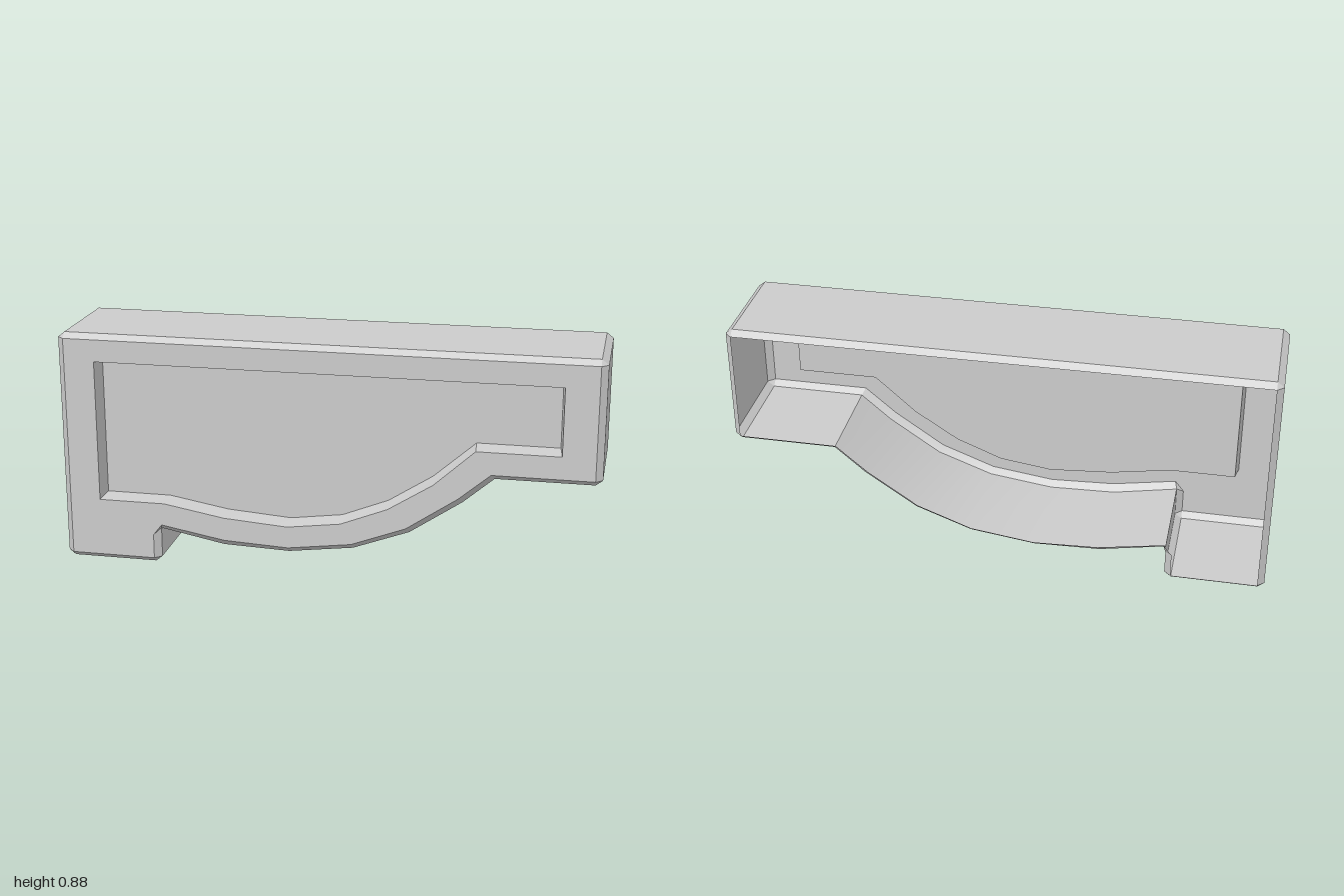
import * as THREE from 'three';
import { toCreasedNormals } from 'three/addons/utils/BufferGeometryUtils.js';

const material = new THREE.MeshStandardMaterial({ color: 0xcccccc, side: THREE.DoubleSide });

// Side outline at full size, corners clipped, anticlockwise from the foot
const rim = [
  [-1, 0.02], [-0.975, 0], [-0.655, 0], [-0.63, 0.02], [-0.63, 0.11], [-0.63, 0.135],
  [-0.385, 0.088], [-0.137, 0.08], [0.104, 0.112], [0.313, 0.19], [0.505, 0.32], [0.618, 0.417],
  [0.975, 0.417], [1, 0.437], [1, 0.858], [0.975, 0.878], [-0.975, 0.878], [-1, 0.858],
];

// Same outline, inset by the bevel; clipped corners meet in one point
const face = [
  [-0.975, 0.02], [-0.975, 0.02], [-0.655, 0.02], [-0.655, 0.02], [-0.655, 0.113], [-0.622, 0.155],
  [-0.38, 0.112], [-0.137, 0.101], [0.1, 0.133], [0.302, 0.21], [0.49, 0.338], [0.607, 0.437],
  [0.975, 0.437], [0.975, 0.437], [0.975, 0.858], [0.975, 0.858], [-0.975, 0.858], [-0.975, 0.858],
];

// Recess in the front: its edge and its slightly smaller floor
const recessEdge = [
  [-0.86, 0.24], [-0.61, 0.24], [-0.38, 0.2], [-0.14, 0.183], [0.06, 0.21], [0.235, 0.28],
  [0.4, 0.385], [0.55, 0.522], [0.855, 0.522], [0.855, 0.775], [-0.86, 0.775],
];
const recessFloor = [
  [-0.85, 0.25], [-0.605, 0.25], [-0.38, 0.211], [-0.14, 0.194], [0.055, 0.221], [0.227, 0.29],
  [0.39, 0.395], [0.545, 0.532], [0.845, 0.532], [0.845, 0.765], [-0.85, 0.765],
];

const FRONT = 0.213, SIDE = 0.19, FLOOR = 0.143;

// Skin between matching loops [outline, z]; inward flips the faces
function loft(loops, inward = false) {
  const pos = [];
  const tri = (a, b, c) => {
    const area = b.clone().sub(a).cross(c.clone().sub(a)).length();
    if (area < 1e-7) return;
    for (const p of inward ? [a, c, b] : [a, b, c]) pos.push(p.x, p.y, p.z);
  };
  for (let k = 0; k + 1 < loops.length; k++) {
    const [a, b] = [loops[k], loops[k + 1]].map(([pts, z]) => pts.map(([x, y]) => new THREE.Vector3(x, y, z)));
    for (let i = 0; i < a.length; i++) {
      const j = (i + 1) % a.length;
      tri(a[i], b[i], b[j]);
      tri(a[i], b[j], a[j]);
    }
  }
  const g = new THREE.BufferGeometry();
  g.setAttribute('position', new THREE.Float32BufferAttribute(pos, 3));
  return toCreasedNormals(g, 0.4);
}

// Flat plate at a given z, with an optional opening
function plate(outline, z, opening) {
  const vecs = (pts) => pts
    .filter((p, i) => i === 0 || p[0] !== pts[i - 1][0] || p[1] !== pts[i - 1][1])
    .map(([x, y]) => new THREE.Vector2(x, y));
  const shape = new THREE.Shape(vecs(outline));
  if (opening) shape.holes.push(new THREE.Path(vecs(opening)));
  return new THREE.ShapeGeometry(shape).translate(0, 0, z);
}

export function createModel() {
  const model = new THREE.Group();
  model.name = 'bracket';
  const add = (name, geometry) => {
    const mesh = new THREE.Mesh(geometry, material);
    mesh.name = name;
    model.add(mesh);
  };

  // Thin shell with bevelled front and back edges, open at the back
  add('shell', loft([[face, FRONT], [rim, SIDE], [rim, -SIDE], [face, -FRONT]]));
  add('frontFrame', plate(face, FRONT, recessEdge));
  add('recessWall', loft([[recessEdge, FRONT], [recessFloor, FLOOR]], true));
  add('recessPanel', plate(recessFloor, FLOOR));

  // The block sits very slightly turned
  model.rotation.y = -0.005;
  return model;
}
